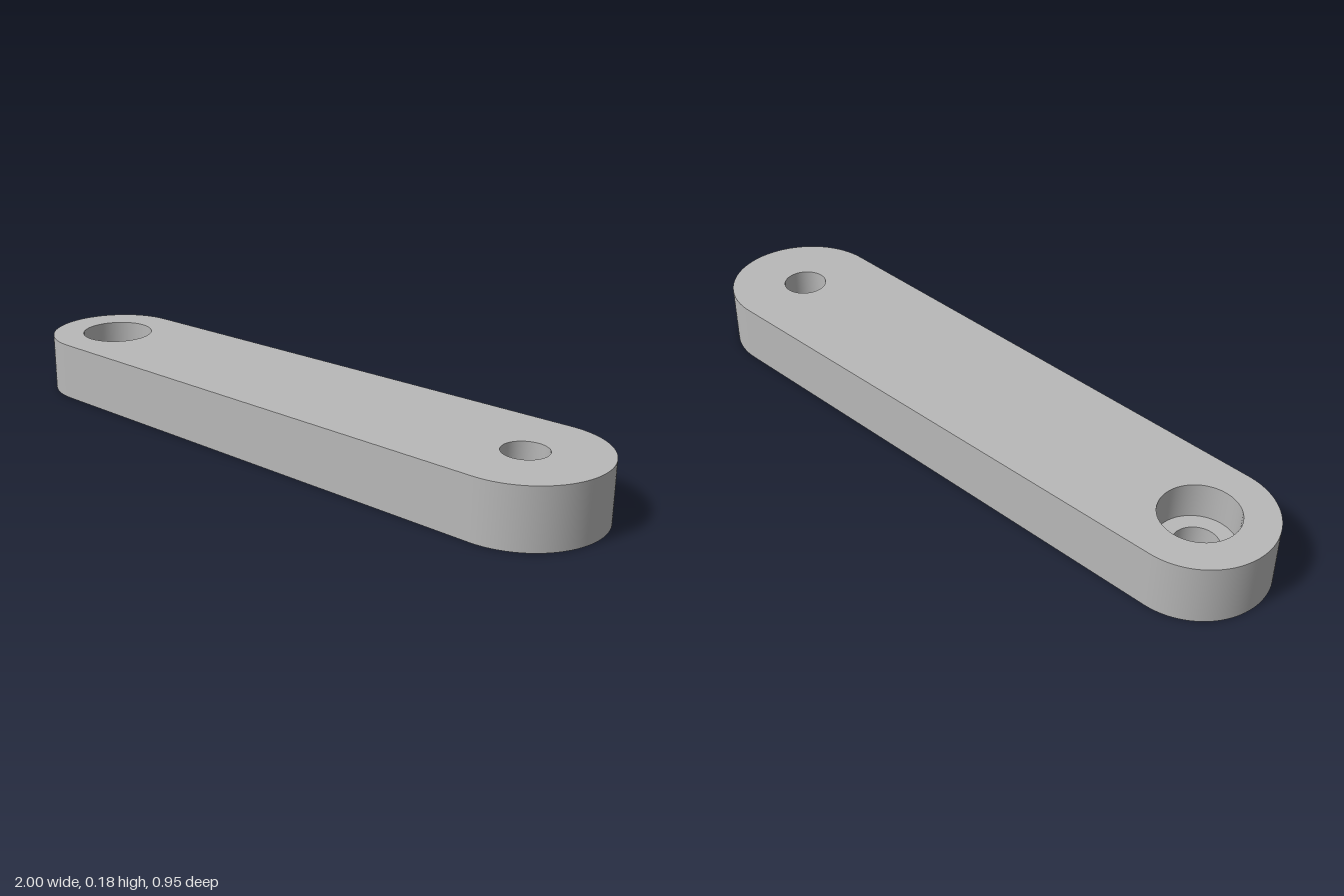
import * as THREE from 'three';

const HEIGHT = 0.183;
const LEDGE = 0.073; // height of the counterbore floor
const SEGMENTS = 64;

// Plan coordinates: x, and y pointing to the back (-z)
const endA = { x: -0.786, y: 0.264, r: 0.214 };
const endB = { x: 0.763, y: -0.24, r: 0.237 };
const BORE = 0.067;
const COUNTERBORE = 0.114;

function arc(c, r, from, to, closed = false) {
  const count = closed ? SEGMENTS : SEGMENTS + 1;
  return Array.from({ length: count }, (_, i) => {
    const a = from + ((to - from) * i) / SEGMENTS;
    return new THREE.Vector2(c.x + r * Math.cos(a), c.y + r * Math.sin(a));
  });
}

// Clockwise circle, so that its wall faces the axis
const hole = (c, r) => arc(c, r, 2 * Math.PI, 0, true);

// Two round ends of different size joined by their common tangents
function armOutline() {
  const dx = endB.x - endA.x, dy = endB.y - endA.y;
  const t = Math.atan2(dy, dx);
  const phi = Math.acos((endA.r - endB.r) / Math.hypot(dx, dy));
  return [
    ...arc(endB, endB.r, t - phi, t + phi),
    ...arc(endA, endA.r, t + phi, t + 2 * Math.PI - phi),
  ];
}

// Smooth upright wall along a closed loop
function wallGeometry(points, y0, y1) {
  const positions = [], index = [];
  const n = points.length;
  points.forEach((p, i) => {
    positions.push(p.x, y0, -p.y, p.x, y1, -p.y);
    const a = 2 * i, b = 2 * ((i + 1) % n);
    index.push(a, b, b + 1, a, b + 1, a + 1);
  });
  const g = new THREE.BufferGeometry();
  g.setAttribute('position', new THREE.Float32BufferAttribute(positions, 3));
  g.setIndex(index);
  g.computeVertexNormals();
  return g;
}

// Level face with holes, facing up or down
function faceGeometry(outline, holes, y, down = false) {
  const shape = new THREE.Shape(outline);
  shape.holes = holes.map((h) => new THREE.Path(h));
  const g = new THREE.ShapeGeometry(shape);
  g.rotateX(-Math.PI / 2).translate(0, y, 0);
  if (down) {
    g.setIndex(Array.from(g.index.array).reverse());
    g.computeVertexNormals();
  }
  return g;
}

export function createModel() {
  const model = new THREE.Group();
  model.name = 'linkArm';
  const grey = new THREE.MeshStandardMaterial({ color: 0xb8b8b8 });
  grey.name = 'grey';

  const add = (name, geometry) => {
    const mesh = new THREE.Mesh(geometry, grey);
    mesh.name = name;
    model.add(mesh);
  };

  const outline = armOutline();
  const boreA = hole(endA, BORE);
  const boreB = hole(endB, BORE);
  const counterbore = hole(endA, COUNTERBORE);

  // Arm body
  add('armSide', wallGeometry(outline, 0, HEIGHT));
  add('armTop', faceGeometry(outline, [counterbore, boreB], HEIGHT));
  add('armBottom', faceGeometry(outline, [boreA, boreB], 0, true));

  // Stepped hole at the small end
  add('counterboreWall', wallGeometry(counterbore, LEDGE, HEIGHT));
  add('counterboreFloor', faceGeometry([...counterbore].reverse(), [boreA], LEDGE));
  add('steppedHoleWall', wallGeometry(boreA, 0, LEDGE));

  // Plain hole at the large end
  add('plainHoleWall', wallGeometry(boreB, 0, HEIGHT));

  return model;
}
